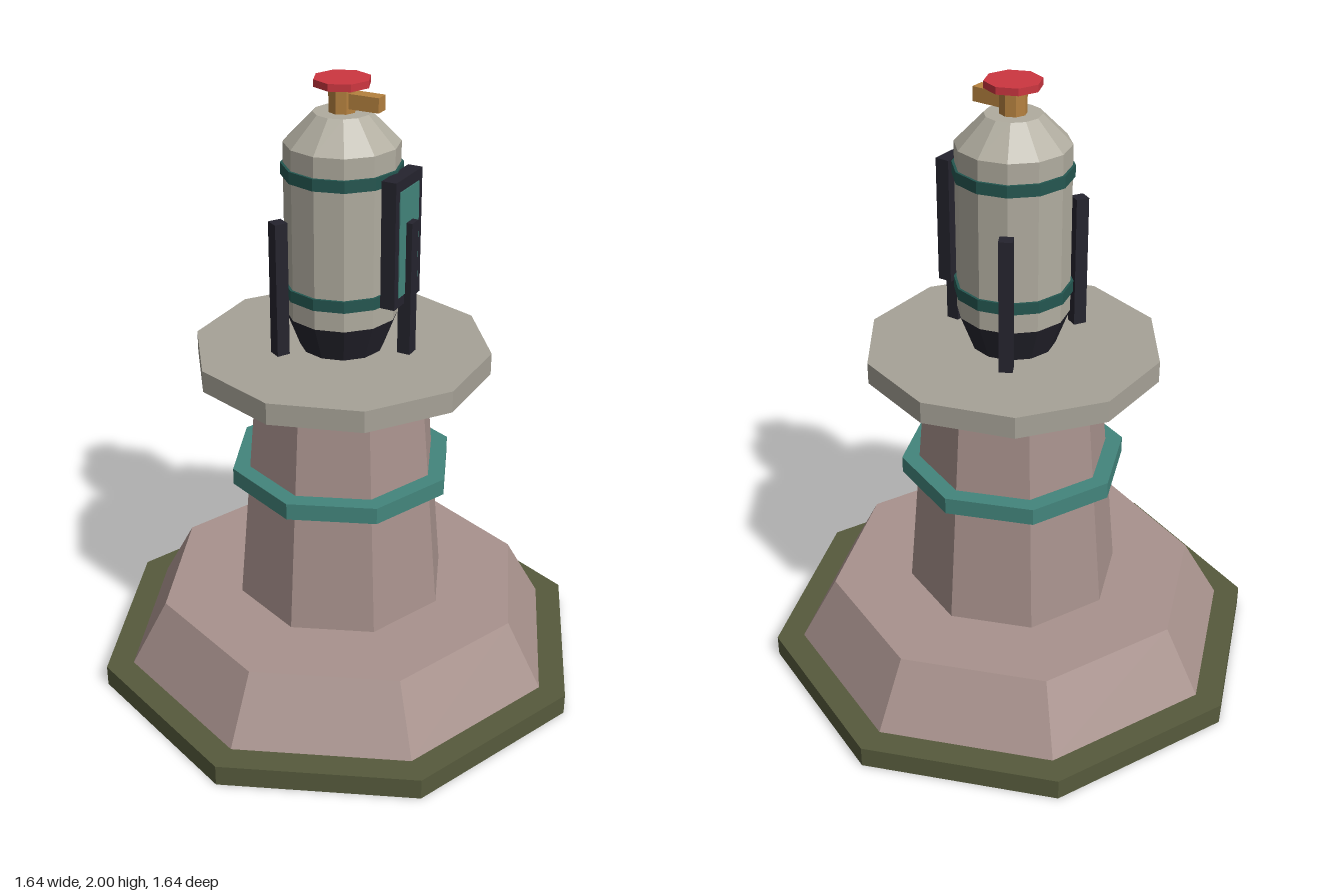
import * as THREE from 'three';

const mat = (color) => new THREE.MeshStandardMaterial({ color, flatShading: true });

export function createModel() {
  const model = new THREE.Group();
  const stone = mat(0xa8928d), concrete = mat(0xa6a297), olive = mat(0x565a3c);
  const teal = mat(0x43857c), darkTeal = mat(0x245650), steel = mat(0xb0ac9f);
  const dark = mat(0x25242e), brass = mat(0xb5813f), red = mat(0xcc3640);

  const add = (name, geometry, material, parent = model) => {
    const mesh = new THREE.Mesh(geometry, material);
    mesh.name = name;
    parent.add(mesh);
    return mesh;
  };
  // Faceted drum between two heights
  const drum = (name, y0, y1, r0, r1, sides, material, parent) => {
    const mesh = add(name, new THREE.CylinderGeometry(r1, r0, y1 - y0, sides), material, parent);
    mesh.position.y = (y0 + y1) / 2;
    return mesh;
  };
  // Box given by its minimum and maximum corners
  const box = (name, a, b, material, parent) => {
    const mesh = add(name, new THREE.BoxGeometry(b[0] - a[0], b[1] - a[1], b[2] - a[2]), material, parent);
    mesh.position.set((a[0] + b[0]) / 2, (a[1] + b[1]) / 2, (a[2] + b[2]) / 2);
    return mesh;
  };

  // Pedestal
  drum('groundSlab', 0, 0.07, 0.82, 0.82, 8, olive);
  drum('plinth', 0.07, 0.285, 0.73, 0.61, 8, stone);
  drum('column', 0.285, 1.085, 0.35, 0.28, 8, stone);
  drum('columnBand', 0.702, 0.757, 0.365, 0.365, 8, teal);
  drum('platform', 1.085, 1.155, 0.47, 0.47, 10, concrete);

  // Tank
  const tank = new THREE.Group();
  tank.name = 'tank';
  model.add(tank);
  drum('tankFoot', 1.155, 1.27, 0.132, 0.176, 12, dark, tank);
  drum('tankBody', 1.27, 1.81, 0.176, 0.176, 12, steel, tank);
  drum('tankShoulder', 1.81, 1.9, 0.176, 0.087, 12, steel, tank);
  for (const y of [1.335, 1.71]) drum('tankBand', y, y + 0.037, 0.184, 0.184, 12, darkTeal, tank);

  // Valve on top
  drum('valveStem', 1.9, 1.978, 0.042, 0.042, 8, brass, tank);
  box('valveOutlet', [0.02, 1.915, -0.022], [0.13, 1.96, 0.022], brass, tank);
  drum('valveWheel', 1.978, 2, 0.087, 0.087, 8, red, tank);

  // Gauge panel on the left side
  box('panelFrame', [0.175, 1.343, -0.087], [0.222, 1.74, 0.087], dark, tank);
  box('panelScreen', [0.21, 1.375, -0.063], [0.225, 1.705, 0.063], teal, tank);

  // Three guard posts around the tank
  for (let i = 0; i < 3; i++) {
    const pivot = new THREE.Group();
    pivot.name = 'guardPost';
    pivot.rotation.y = (i * Math.PI * 2) / 3;
    box('post', [0.202, 1.175, -0.021], [0.244, 1.6, 0.021], dark, pivot);
    model.add(pivot);
  }
  return model;
}
